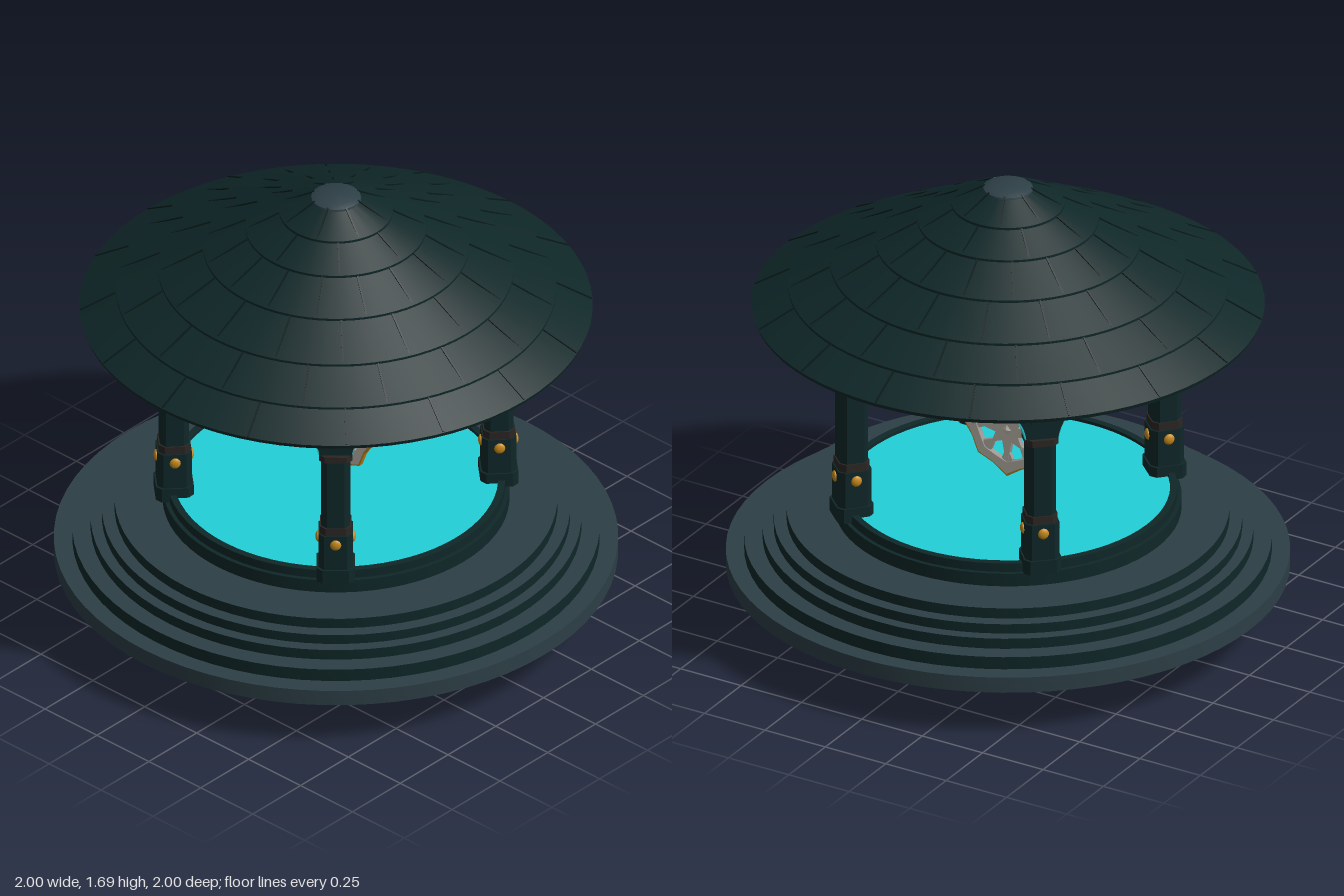
import * as THREE from 'three';
import { toCreasedNormals } from 'three/addons/utils/BufferGeometryUtils.js';

const paint = (name, color, side = THREE.FrontSide) => {
  const m = new THREE.MeshStandardMaterial({ color, side });
  m.name = name;
  return m;
};

export function createModel() {
  const teal = paint('dark teal stone', 0x0f2728);
  const joint = paint('roof joint', 0x091a1b);
  const slate = paint('slate', 0x2d3f46);
  const charcoal = paint('ceiling charcoal', 0x23292c);
  const cyan = paint('cyan glow', 0x22d0d8, THREE.DoubleSide);
  const gold = paint('gold', 0xc98c1c);
  const brown = paint('brown collar', 0x2b2624);
  const bone = paint('bone', 0xcbc5ba);
  const grey = paint('grey stone', 0x9c9693);

  const model = new THREE.Group();
  model.name = 'pavilion';
  const add = (parent, name, geo, mat, x = 0, y = 0, z = 0) => {
    const m = new THREE.Mesh(geo, mat);
    m.name = name;
    m.position.set(x, y, z);
    parent.add(m);
    return m;
  };
  const lathe = (pts, seg = 72) => toCreasedNormals(
    new THREE.LatheGeometry(pts.map(p => new THREE.Vector2(p[0], p[1])), seg), 0.5);

  // Stepped base: slate treads, teal risers
  const steps = [[1, 0.18, 0.24], [0.935, 0.24, 0.288], [0.87, 0.288, 0.328],
    [0.83, 0.328, 0.365], [0.785, 0.365, 0.405], [0.615, 0.405, 0.455], [0.6, 0.455, 0.488]];
  steps.forEach(([r, y0, y1], i) => {
    const inner = i < steps.length - 1 ? steps[i + 1][0] : 0.575;
    add(model, 'stepRiser', lathe([[r, y0], [r, y1]]), i ? teal : slate);
    add(model, 'stepTread', lathe([[r, y1], [inner, y1]]), i < 5 ? slate : teal);
  });
  // Hollow underside of the base
  add(model, 'floorRim', lathe([[0.575, 0.488], [0.575, 0.43], [0.615, 0.40]]), teal);
  add(model, 'baseLining', lathe([[0.575, 0.475], [0.6, 0.40], [0.77, 0.37],
    [0.83, 0.31], [0.95, 0.22], [0.95, 0.18], [1, 0.18]]), slate);
  const floor = add(model, 'floor', new THREE.CircleGeometry(0.58, 64), cyan, 0, 0.476);
  floor.rotation.x = -Math.PI / 2;

  // Floating ring under the base
  add(model, 'floatingRing', lathe([[0.49, 0], [0.515, 0], [0.515, 0.035],
    [0.49, 0.035], [0.49, 0]]), grey);

  // Roof: overlapping tile courses on a shallow cone
  const roofY = r => 1.22 + (0.91 - r) * 0.556;
  const courses = [0.91, 0.78, 0.63, 0.47, 0.32, 0.2, 0.08];
  const roofPts = [[0.68, 1.205], [0.905, 1.205]];
  courses.forEach((r, i) => {
    if (i) roofPts.push([r, roofY(r) - 0.004]);
    roofPts.push([r, roofY(r) + (i && i < 6 ? 0.005 : 0)]);
  });
  add(model, 'roof', lathe(roofPts), teal);
  const jointGeo = new THREE.BoxGeometry(0.006, 0.004, 1);
  for (let i = 0; i < courses.length - 1; i++) {
    const a = courses[i], b = courses[i + 1], n = i < 4 ? 16 : 8;
    for (let k = 0; k < n; k++) {
      const pivot = new THREE.Group();
      pivot.name = 'roofJointPivot';
      pivot.rotation.y = (k + (i % 2) * 0.5) * Math.PI * 2 / n;
      const mid = (a + b) / 2;
      const j = add(pivot, 'roofJoint', jointGeo, joint, 0, roofY(mid) + 0.002, mid);
      j.rotation.x = Math.atan(0.556);
      j.scale.z = (a - b) * 1.1;
      model.add(pivot);
    }
  }
  add(model, 'roofCap', lathe([[0.07, 1.665], [0.09, 1.672], [0.088, 1.68],
    [0.065, 1.69], [0, 1.692]], 24), slate);

  // Ring beam and ceiling
  add(model, 'ringBeam', lathe([[0.635, 1.2], [0.635, 1.117], [0.69, 1.117],
    [0.69, 1.16], [0.71, 1.165], [0.71, 1.21]]), teal);
  add(model, 'ceiling', lathe([[0.26, 1.195], [0.64, 1.185]]), charcoal);
  add(model, 'ceilingCentre', lathe([[0, 1.195], [0.26, 1.195]]), joint);

  // Square post with chamfered corners
  const post = (w, y0, y1, c = 0.02) => {
    const h = w / 2, s = new THREE.Shape();
    [[h, h - c], [h - c, h], [c - h, h], [-h, h - c], [-h, c - h], [c - h, -h], [h - c, -h], [h, c - h]]
      .forEach(([x, y], i) => (i ? s.lineTo(x, y) : s.moveTo(x, y)));
    const g = new THREE.ExtrudeGeometry(s, { depth: y1 - y0, bevelEnabled: false });
    return g.rotateX(-Math.PI / 2).translate(0, y0, 0);
  };

  // Flared capital, spreading along the ring beam
  const capital = new THREE.Shape();
  capital.moveTo(-0.055, 0.98);
  capital.lineTo(0.055, 0.98);
  capital.quadraticCurveTo(0.07, 1.09, 0.155, 1.12);
  capital.lineTo(-0.155, 1.12);
  capital.quadraticCurveTo(-0.07, 1.09, -0.055, 0.98);
  const capitalGeo = new THREE.ExtrudeGeometry(capital, { depth: 0.09, bevelEnabled: false, curveSegments: 8 })
    .translate(0, 0, -0.045);

  // Thin glowing strip lining the curve of the capital
  const strip = new THREE.Shape();
  strip.moveTo(0.054, 0.985);
  strip.lineTo(0.061, 0.985);
  strip.quadraticCurveTo(0.077, 1.082, 0.155, 1.113);
  strip.lineTo(0.155, 1.12);
  strip.quadraticCurveTo(0.07, 1.09, 0.054, 0.985);
  const stripGeo = new THREE.ExtrudeGeometry(strip, { depth: 0.07, bevelEnabled: false, curveSegments: 8 })
    .translate(0, 0, -0.035);

  const studGeo = new THREE.SphereGeometry(0.02, 10, 8).scale(1, 1.05, 0.5);
  for (const sx of [-1, 1]) for (const sz of [-1, 1]) {
    const col = new THREE.Group();
    col.name = 'column';
    col.position.set(sx * 0.39, 0, sz * 0.425);
    col.rotation.y = Math.atan2(sx * 0.39, sz * 0.425);
    add(col, 'plinth', post(0.135, 0.46, 0.515), teal);
    add(col, 'pedestal', post(0.122, 0.515, 0.655), teal);
    add(col, 'pedestalCollar', post(0.112, 0.655, 0.685), brown);
    add(col, 'shaft', post(0.103, 0.685, 0.965), teal);
    add(col, 'shaftCollar', post(0.118, 0.965, 0.99), brown);
    add(col, 'capital', capitalGeo, teal);
    add(col, 'capitalBlock', new THREE.BoxGeometry(0.09, 0.06, 0.13), teal, 0, 1.09, 0);
    add(col, 'capitalStud', new THREE.BoxGeometry(0.045, 0.02, 0.012), gold, 0, 1.1, 0.066);
    for (const side of [0, Math.PI]) add(col, 'glowStrip', stripGeo, cyan).rotation.y = side;
    for (let k = 0; k < 4; k++) {
      const a = k * Math.PI / 2;
      add(col, 'pedestalStud', studGeo, gold, Math.sin(a) * 0.062, 0.62, Math.cos(a) * 0.062).rotation.y = a;
    }
    model.add(col);
  }

  // Hanging openwork medallion
  const medallion = new THREE.Group();
  medallion.name = 'medallion';
  medallion.position.set(0, 0.715, 0);
  const outline = (P, r0, r1, r2) => {
    const p = new P();
    for (let i = 0; i <= 16; i++) {
      const r = i % 2 ? r1 : i % 4 ? r2 : r0, a = i * Math.PI / 8;
      if (i) p.lineTo(r * Math.cos(a), r * Math.sin(a));
      else p.moveTo(r, 0);
    }
    return p;
  };
  const plate = (shape, d) => new THREE.ExtrudeGeometry(shape, { depth: d, bevelEnabled: false }).translate(0, 0, -d / 2);
  const rim = outline(THREE.Shape, 0.175, 0.15, 0.163);
  rim.holes.push(outline(THREE.Path, 0.128, 0.12, 0.128));
  add(medallion, 'medallionRim', plate(rim, 0.022), [bone, grey]);
  const trim = outline(THREE.Shape, 0.185, 0.156, 0.17);
  trim.holes.push(outline(THREE.Path, 0.172, 0.147, 0.16));
  add(medallion, 'medallionTrim', plate(trim, 0.016), [gold, gold]);
  add(medallion, 'medallionStar', plate(outline(THREE.Shape, 0.145, 0.05, 0.09), 0.018), [bone, grey]);
  // Pointed petals bridging the star and the rim
  for (let k = 0; k < 8; k++) {
    const petal = new THREE.Shape();
    petal.moveTo(0.07, 0);
    petal.lineTo(0.115, -0.022);
    petal.lineTo(0.14, 0);
    petal.lineTo(0.115, 0.022);
    add(medallion, 'medallionPetal', plate(petal, 0.014), [bone, grey]).rotation.z = k * Math.PI / 4;
  }
  add(medallion, 'medallionBoss', new THREE.OctahedronGeometry(0.045).scale(1, 1, 0.35), bone);
  model.add(medallion);
  return model;
}
